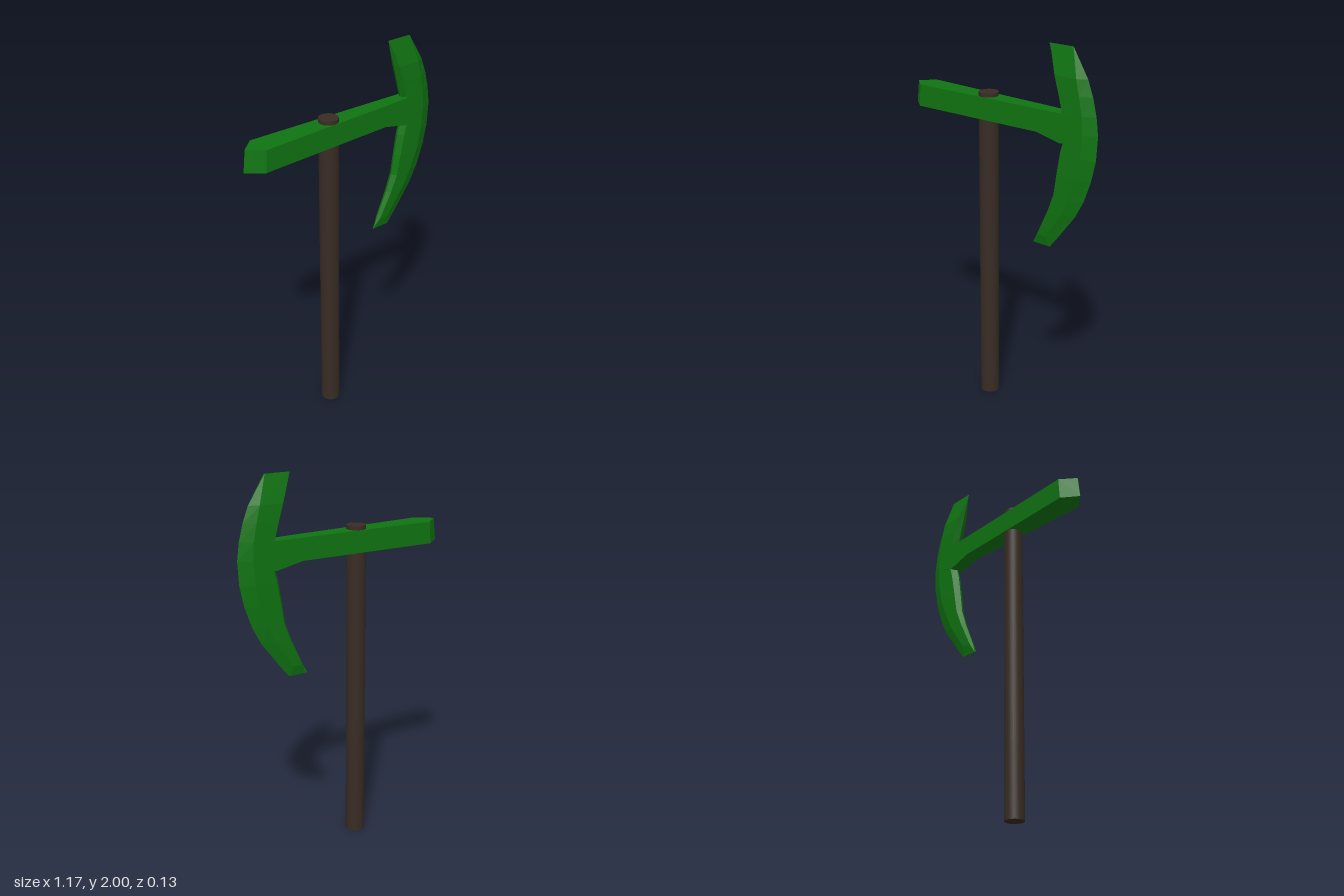
import * as THREE from 'three';

// Skin matching rings of points; rings run counterclockwise seen from ahead
function loft(rings) {
  const pos = [];
  const tri = (a, b, c) => pos.push(...a, ...b, ...c);
  const n = rings[0].length;
  for (let i = 0; i < rings.length - 1; i++) {
    const p = rings[i], q = rings[i + 1];
    for (let j = 0; j < n; j++) {
      const k = (j + 1) % n;
      tri(p[j], p[k], q[k]);
      tri(p[j], q[k], q[j]);
    }
  }
  const first = rings[0], last = rings[rings.length - 1];
  for (let j = 1; j < n - 1; j++) {
    tri(first[0], first[j + 1], first[j]);
    tri(last[0], last[j], last[j + 1]);
  }
  const g = new THREE.BufferGeometry();
  g.setAttribute('position', new THREE.Float32BufferAttribute(pos, 3));
  g.computeVertexNormals();
  return g;
}

export function createModel() {
  const group = new THREE.Group();
  const green = new THREE.MeshStandardMaterial({ color: 0x107412 });
  green.name = 'green metal';
  const brown = new THREE.MeshStandardMaterial({ color: 0x382c24 });
  brown.name = 'dark wood';

  const add = (name, geometry, material) => {
    const mesh = new THREE.Mesh(geometry, material);
    mesh.name = name;
    group.add(mesh);
    return mesh;
  };

  // Round handle, poking just above the head
  add('handle', new THREE.CylinderGeometry(0.05, 0.05, 1.705, 32), brown)
    .position.set(-0.085, 0.8525, 0);

  // Tapering head bar: [x at bottom, x at top, bottom y, top y, half depth]
  const bar = [
    [-0.585, -0.572, 1.57, 1.685, 0.001],
    [-0.505, -0.497, 1.57, 1.685, 0.066],
    [0.25, 0.25, 1.57, 1.685, 0.04],
    [0.39, 0.39, 1.538, 1.685, 0.035],
    [0.51, 0.51, 1.575, 1.685, 0.031],
  ].map(([xb, xt, yb, yt, d]) => [[xb, yb, -d], [xt, yt, -d], [xt, yt, d], [xb, yb, d]]);
  add('headBar', loft(bar), green);

  // Curved blade: [y, inner edge x, inner shoulder x, outer shoulder x, outer edge x, half depth]
  const blade = [
    [0.975, 0.21, 0.22, 0.305, 0.315, 0.002],
    [1.03, 0.237, 0.247, 0.30, 0.36, 0.016],
    [1.17, 0.30, 0.315, 0.395, 0.465, 0.023],
    [1.26, 0.332, 0.35, 0.44, 0.513, 0.026],
    [1.37, 0.348, 0.368, 0.482, 0.552, 0.029],
    [1.48, 0.366, 0.388, 0.505, 0.576, 0.031],
    [1.60, 0.40, 0.42, 0.514, 0.583, 0.031],
    [1.69, 0.38, 0.395, 0.508, 0.571, 0.031],
    [1.78, 0.354, 0.37, 0.49, 0.548, 0.031],
    [1.86, 0.331, 0.345, 0.47, 0.517, 0.029],
    [2.0, 0.29, 0.295, 0.425, 0.43, 0.001],
  ].map(([y, xi, a, b, xo, t]) => [
    [xi, y, 0], [a, y, t], [b, y, t], [xo, y, 0], [b, y, -t], [a, y, -t],
  ]);
  add('blade', loft(blade), green);

  // Small wedge where the bar meets the front of the blade
  const wedge = [0, 0.034].map((z) => [[0.385, 1.68, z], [0.46, 1.68, z], [0.445, 1.77, z * 0.9]]);
  add('wedge', loft(wedge), green);

  return group;
}
